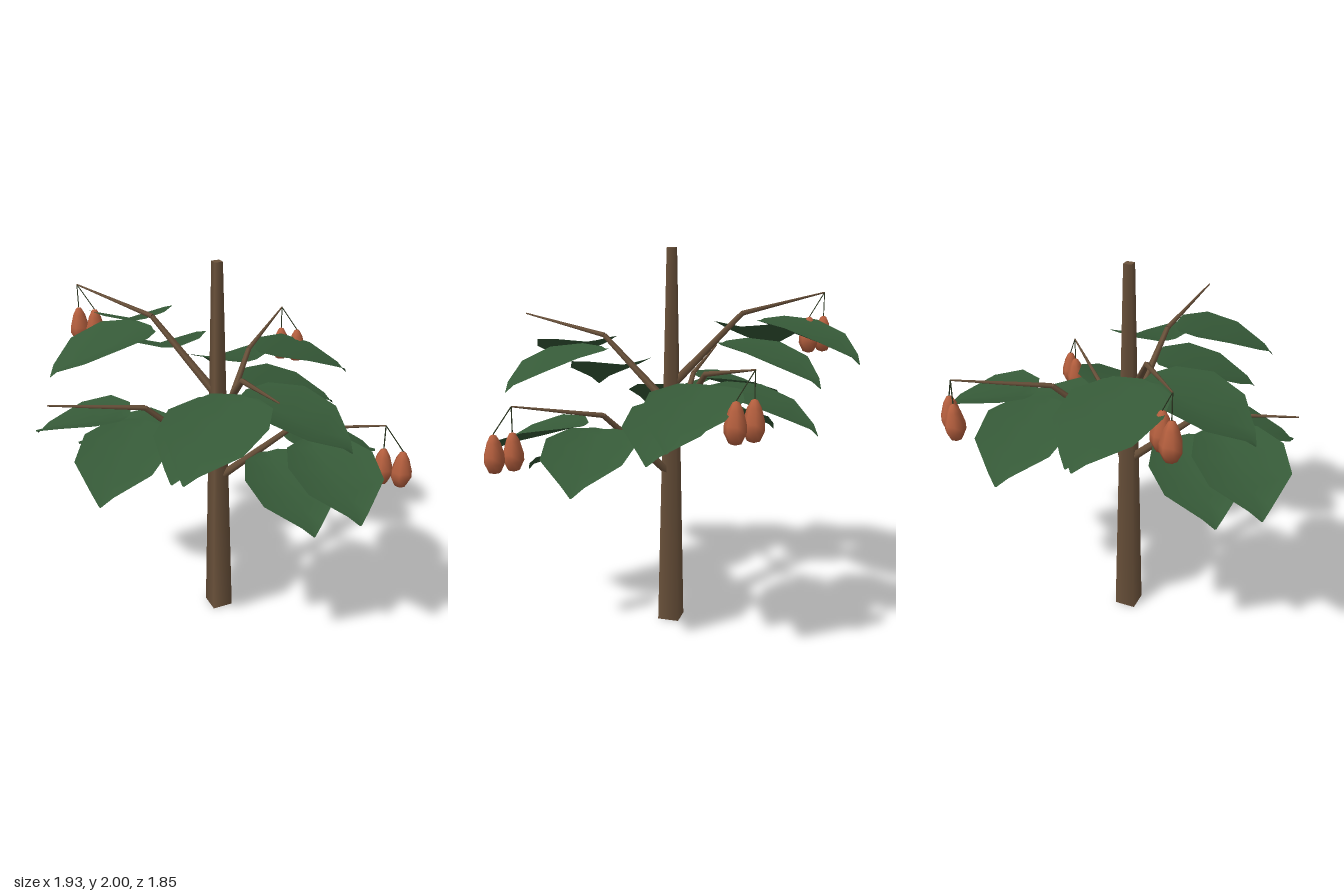
import * as THREE from 'three';

const bark = new THREE.MeshStandardMaterial({ color: 0x6b523b });
bark.name = 'bark brown';
const leafGreen = new THREE.MeshStandardMaterial({ color: 0x365a38, side: THREE.DoubleSide });
leafGreen.name = 'leaf green';
const fruitRed = new THREE.MeshStandardMaterial({ color: 0xb55f3e });
fruitRed.name = 'fruit orange';
const stalkDark = new THREE.MeshStandardMaterial({ color: 0x2f3a24 });
stalkDark.name = 'stalk dark green';

const TRUNK_X = -0.055;
const GOLDEN = THREE.MathUtils.degToRad(137.5);

function mesh(name, geometry, material) {
  const m = new THREE.Mesh(geometry, material);
  m.name = name;
  return m;
}

// Tapered rod from a to b
function rod(name, a, b, ra, rb, sides, material) {
  const dir = b.clone().sub(a);
  const m = mesh(name, new THREE.CylinderGeometry(rb, ra, dir.length(), sides), material);
  m.position.copy(a).addScaledVector(dir, 0.5);
  m.quaternion.setFromUnitVectors(new THREE.Vector3(0, 1, 0), dir.normalize());
  return m;
}

// Broad drooping leaf along +x, folded upward on both sides of the midrib
function leafGeometry() {
  // distance, midrib drop, half width, edge rise
  const rows = [
    [0, 0, 0.05, 0.005], [0.07, -0.018, 0.16, 0.03], [0.23, -0.068, 0.228, 0.062],
    [0.4, -0.118, 0.2, 0.05], [0.52, -0.165, 0.055, 0.015], [0.55, -0.195, 0.004, 0],
  ];
  const pos = [], index = [];
  rows.forEach(([x, y, w, rise], i) => {
    pos.push(x, y + rise, -w, x, y, 0, x, y + rise, w);
    if (i === rows.length - 1) return;
    for (let j = 0; j < 2; j++) {
      const a = i * 3 + j, b = a + 1, c = a + 3, d = a + 4;
      index.push(a, b, c, b, d, c);
    }
  });
  const g = new THREE.BufferGeometry();
  g.setAttribute('position', new THREE.Float32BufferAttribute(pos, 3));
  g.setIndex(index);
  g.computeVertexNormals();
  return g;
}

// Teardrop fruit hanging below its own origin
function fruitGeometry() {
  const profile = [[0, -0.195], [0.03, -0.185], [0.052, -0.14], [0.051, -0.105],
    [0.033, -0.04], [0.015, -0.006], [0, 0]];
  return new THREE.LatheGeometry(profile.map(([x, y]) => new THREE.Vector2(x, y)), 7);
}

export function createModel() {
  const tree = new THREE.Group();
  tree.name = 'fruitTree';

  // Four-sided tapering trunk
  const trunk = mesh('trunk', new THREE.CylinderGeometry(0.03, 0.08, 2, 4), bark);
  trunk.position.set(TRUNK_X, 1, 0);
  tree.add(trunk);

  const leafGeo = leafGeometry(), fruitGeo = fruitGeometry();
  // distance along branch, height above branch root, side
  const leaves = [[0.28, 0.21, 1], [0.385, 0.29, -1], [0.495, 0.32, 1]];

  // Branches spiral up the trunk
  for (let i = 0; i < 5; i++) {
    const angle = i * GOLDEN, y = 0.82 + 0.12 * i;
    const branch = new THREE.Group();
    branch.name = 'branch' + (i + 1);
    branch.position.set(TRUNK_X, y, 0);
    branch.rotation.y = -angle;
    const root = new THREE.Vector3(0, 0, 0);
    const elbow = new THREE.Vector3(0.39, 0.36, 0);
    const end = new THREE.Vector3(0.87, 0.455, 0);
    branch.add(rod('lowerLimb', root, elbow, 0.024, 0.014, 5, bark));
    branch.add(rod('upperLimb', elbow, end, 0.014, 0.004, 5, bark));
    for (const [r, h, side] of leaves) {
      const leaf = mesh('leaf', leafGeo, leafGreen);
      leaf.position.set(r, h, 0);
      leaf.rotation.y = -side * THREE.MathUtils.degToRad(48.5);
      branch.add(leaf);
    }
    tree.add(branch);

    // A pair of fruits on every other branch
    if (i % 2) continue;
    const tip = new THREE.Vector3(TRUNK_X + 0.87 * Math.cos(angle), y + 0.455, 0.87 * Math.sin(angle));
    for (const dx of [0, 0.095]) {
      const top = tip.clone().add(new THREE.Vector3(dx, -0.125, 0));
      tree.add(rod('fruitStalk', tip, top, 0.003, 0.003, 4, stalkDark));
      const fruit = mesh('fruit', fruitGeo, fruitRed);
      fruit.position.copy(top);
      tree.add(fruit);
    }
  }
  return tree;
}
